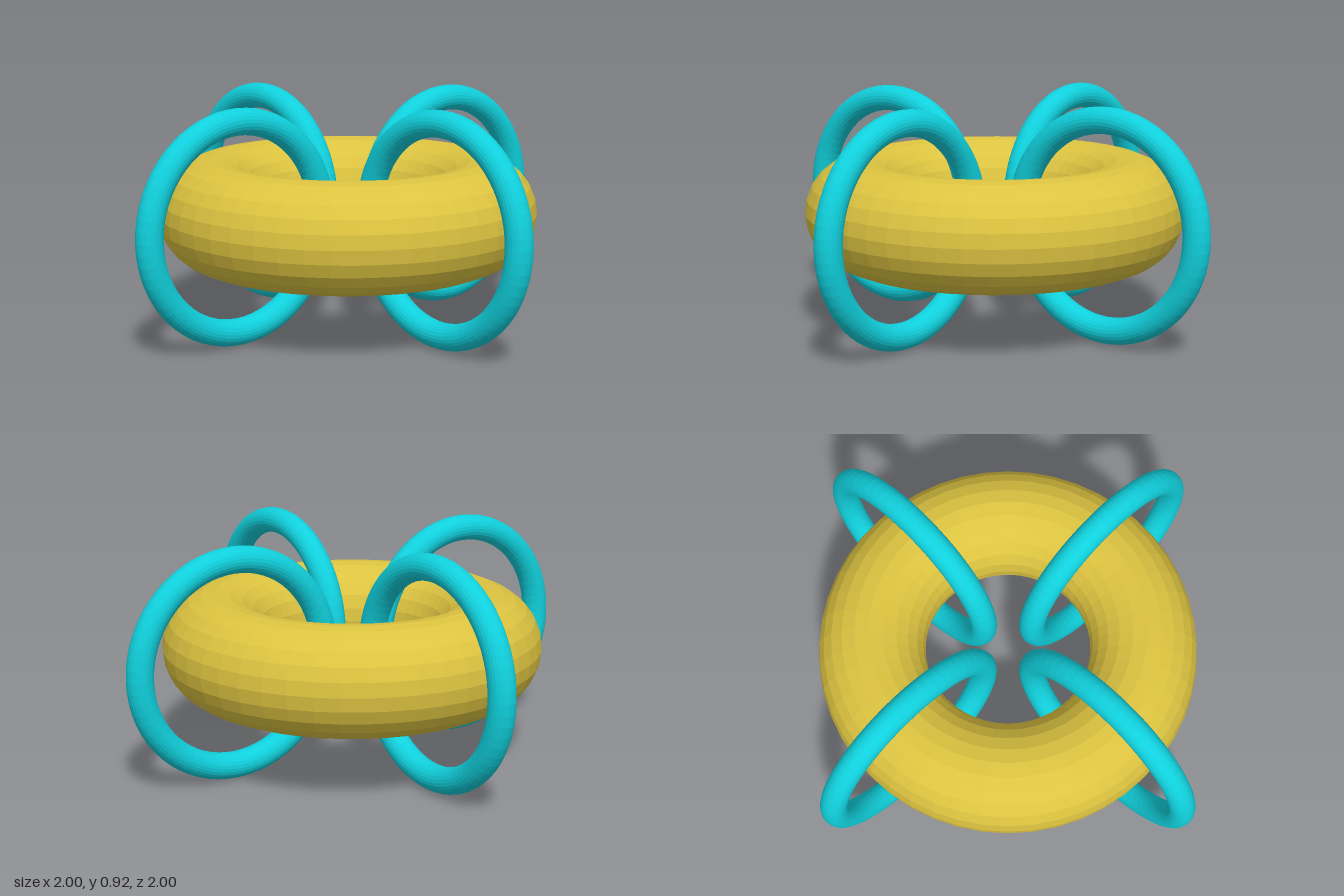
import * as THREE from 'three';

const CENTRE_Y = 0.458;
const RADIUS = 0.542; // main ring's centre line, where the loops are threaded

function torus(name, radius, tube, sides, segments, color) {
  const mesh = new THREE.Mesh(
    new THREE.TorusGeometry(radius, tube, sides, segments),
    new THREE.MeshStandardMaterial({ color, flatShading: true })
  );
  mesh.name = name;
  return mesh;
}

export function createModel() {
  const model = new THREE.Group();
  model.name = 'linkedRings';

  // Thick ring lying flat
  const mainRing = torus('mainRing', RADIUS, 0.213, 24, 48, 0xdcc340);
  mainRing.rotation.x = Math.PI / 2;
  mainRing.position.y = CENTRE_Y;
  model.add(mainRing);

  // Four thin upright loops threaded around the thick ring
  const names = ['leftLoop', 'backLoop', 'rightLoop', 'frontLoop'];
  names.forEach((name, i) => {
    const angle = (i * Math.PI) / 2;
    const loop = torus(name, 0.406, 0.052, 24, 64, 0x10d0dc);
    loop.position.set(RADIUS * Math.cos(angle), CENTRE_Y, -RADIUS * Math.sin(angle));
    loop.rotation.y = angle;
    model.add(loop);
  });

  return model;
}
